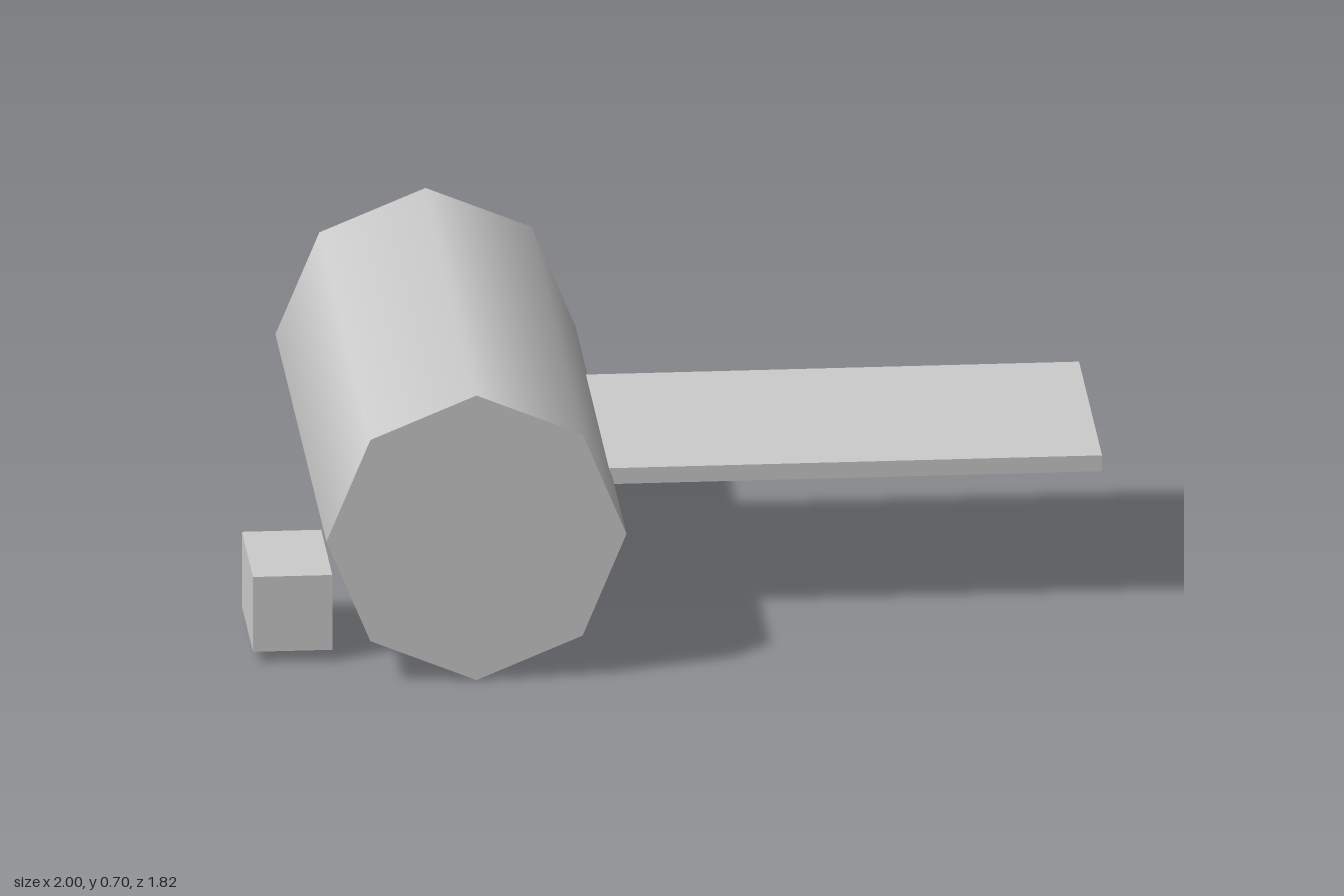
import * as THREE from 'three';

export function createModel() {
  const group = new THREE.Group();
  const material = new THREE.MeshStandardMaterial({ color: 0xcccccc });

  const add = (name, geometry, x, y, z) => {
    const mesh = new THREE.Mesh(geometry, material);
    mesh.name = name;
    mesh.position.set(x, y, z);
    group.add(mesh);
  };

  // Eight-sided section along z, from zFront to zBack
  const axisX = -0.492, axisY = 0.353;
  const section = (name, frontRadius, backRadius, zFront, zBack) => {
    const geometry = new THREE.CylinderGeometry(backRadius, frontRadius, zFront - zBack, 8);
    geometry.rotateX(-Math.PI / 2);
    add(name, geometry, axisX, axisY, (zFront + zBack) / 2);
  };

  // Box given by its extents on each axis
  const block = (name, [x0, x1], [y0, y1], [z0, z1]) =>
    add(name, new THREE.BoxGeometry(x1 - x0, y1 - y0, z1 - z0),
      (x0 + x1) / 2, (y0 + y1) / 2, (z0 + z1) / 2);

  // Body, tapered shoulder and neck
  section('body', 0.35, 0.35, 0.912, -0.57);
  section('shoulder', 0.35, 0.21, -0.57, -0.8);
  section('neck', 0.138, 0.138, -0.8, -0.912);

  // Flat panel on the left, small block on the right
  block('sidePanel', [-0.15, 1], [0.335, 0.374], [-0.165, 0.504]);
  block('sideBlock', [-1, -0.815], [0.03, 0.214], [0.425, 0.748]);

  return group;
}
